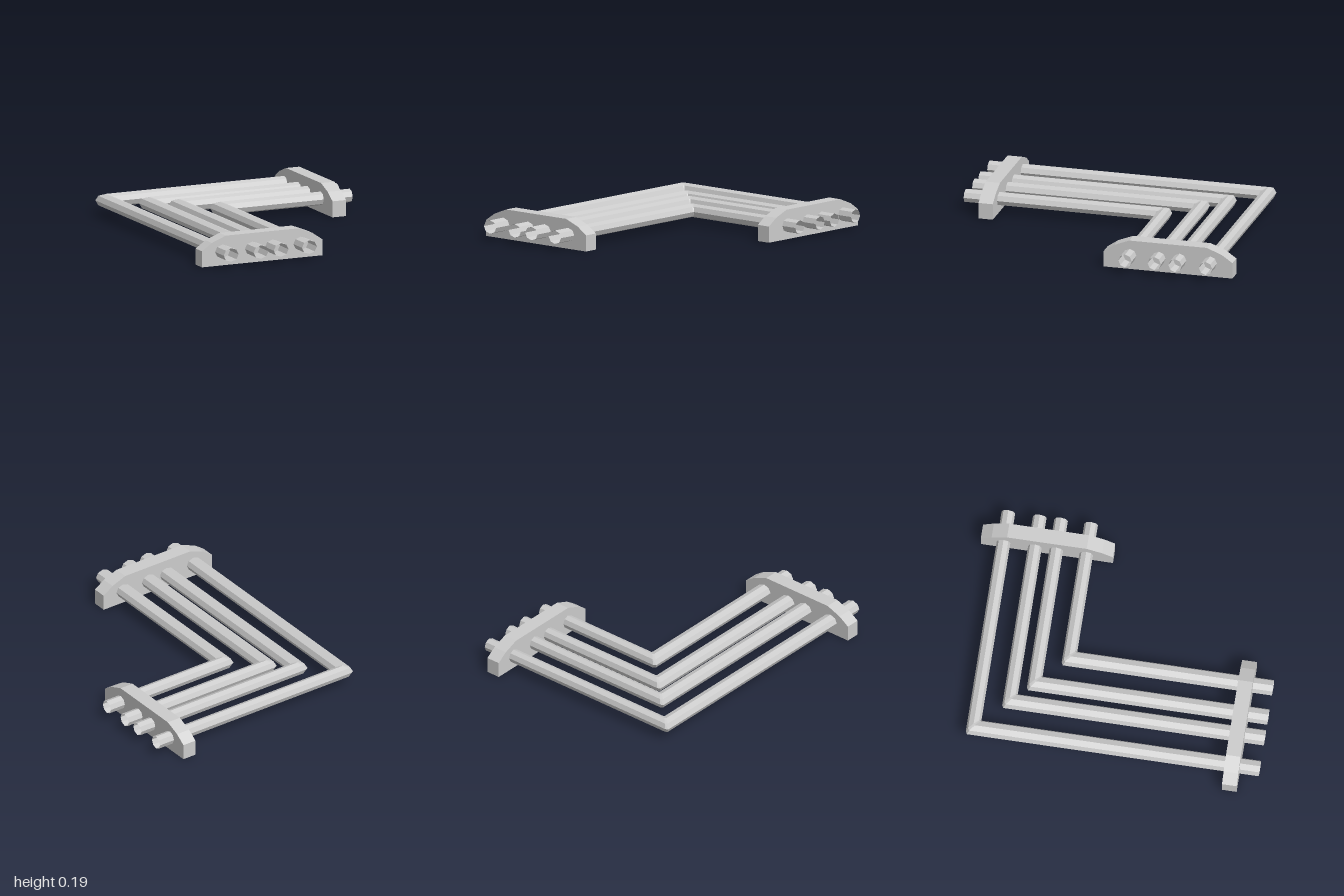
import * as THREE from 'three';

const material = new THREE.MeshStandardMaterial({ color: 0xcccccc, flatShading: true, side: THREE.DoubleSide });
const SIDES = 8;
const RADIUS = 0.044;
const AXIS_Y = 0.092;

// L-shaped open octagonal pipe: front end, chamfered mitre corner, right end
function pipeGeometry(x0, z0) {
  const chamfer = 0.01;
  const widen = 1.2; // the front-to-back run is slightly wider
  const sections = [
    (u) => [x0 + u * widen, 1],
    (u) => [x0 + u * widen, z0 + u + chamfer],
    (u) => [x0 + u + chamfer, z0 + u],
    (u) => [0.81, z0 + u],
  ];
  const positions = [];
  const index = [];
  sections.forEach((section, s) => {
    for (let i = 0; i < SIDES; i++) {
      const a = (i / SIDES) * Math.PI * 2;
      const [x, z] = section(RADIUS * Math.cos(a));
      positions.push(x, AXIS_Y + RADIUS * Math.sin(a), z);
      if (s === 0) continue;
      const j = (i + 1) % SIDES;
      const p = (s - 1) * SIDES;
      const q = s * SIDES;
      index.push(p + i, q + i, p + j, p + j, q + i, q + j);
    }
  });
  const geometry = new THREE.BufferGeometry();
  geometry.setAttribute('position', new THREE.Float32BufferAttribute(positions, 3));
  geometry.setIndex(index);
  // wind outward
  const flipped = geometry.index.array;
  for (let i = 0; i < flipped.length; i += 3) {
    [flipped[i + 1], flipped[i + 2]] = [flipped[i + 2], flipped[i + 1]];
  }
  const flat = geometry.toNonIndexed();
  flat.computeVertexNormals();
  return flat;
}

// Clamp block with sloped shoulders, centred along its length
function bracketGeometry() {
  const half = 0.4275;
  const shoulder = [[half, 0], [half, 0.105], [half - 0.07, 0.153], [half - 0.17, 0.192]];
  const mirrored = shoulder.map(([x, y]) => [-x, y]).reverse();
  const shape = new THREE.Shape([...shoulder, ...mirrored].map(([x, y]) => new THREE.Vector2(x, y)));
  const geometry = new THREE.ExtrudeGeometry(shape, { depth: 0.095, bevelEnabled: false });
  return geometry.translate(0, 0, -0.0475);
}

export function createModel() {
  const model = new THREE.Group();
  model.name = 'bentPipeRun';

  // Four nested pipes, outermost first
  const corners = [[-0.669, -0.853], [-0.457, -0.65], [-0.314, -0.512], [-0.113, -0.318]];
  corners.forEach(([x, z], i) => {
    const pipe = new THREE.Mesh(pipeGeometry(x, z), material);
    pipe.name = `pipe${i + 1}`;
    model.add(pipe);
  });

  // Clamp across the front ends and across the right-hand ends
  const frontBracket = new THREE.Mesh(bracketGeometry(), material);
  frontBracket.name = 'frontBracket';
  frontBracket.position.set(-0.3875, 0, 0.825);
  const sideBracket = new THREE.Mesh(bracketGeometry(), material);
  sideBracket.name = 'sideBracket';
  sideBracket.rotation.y = Math.PI / 2;
  sideBracket.position.set(0.652, 0, -0.5725);
  model.add(frontBracket, sideBracket);

  return model;
}
